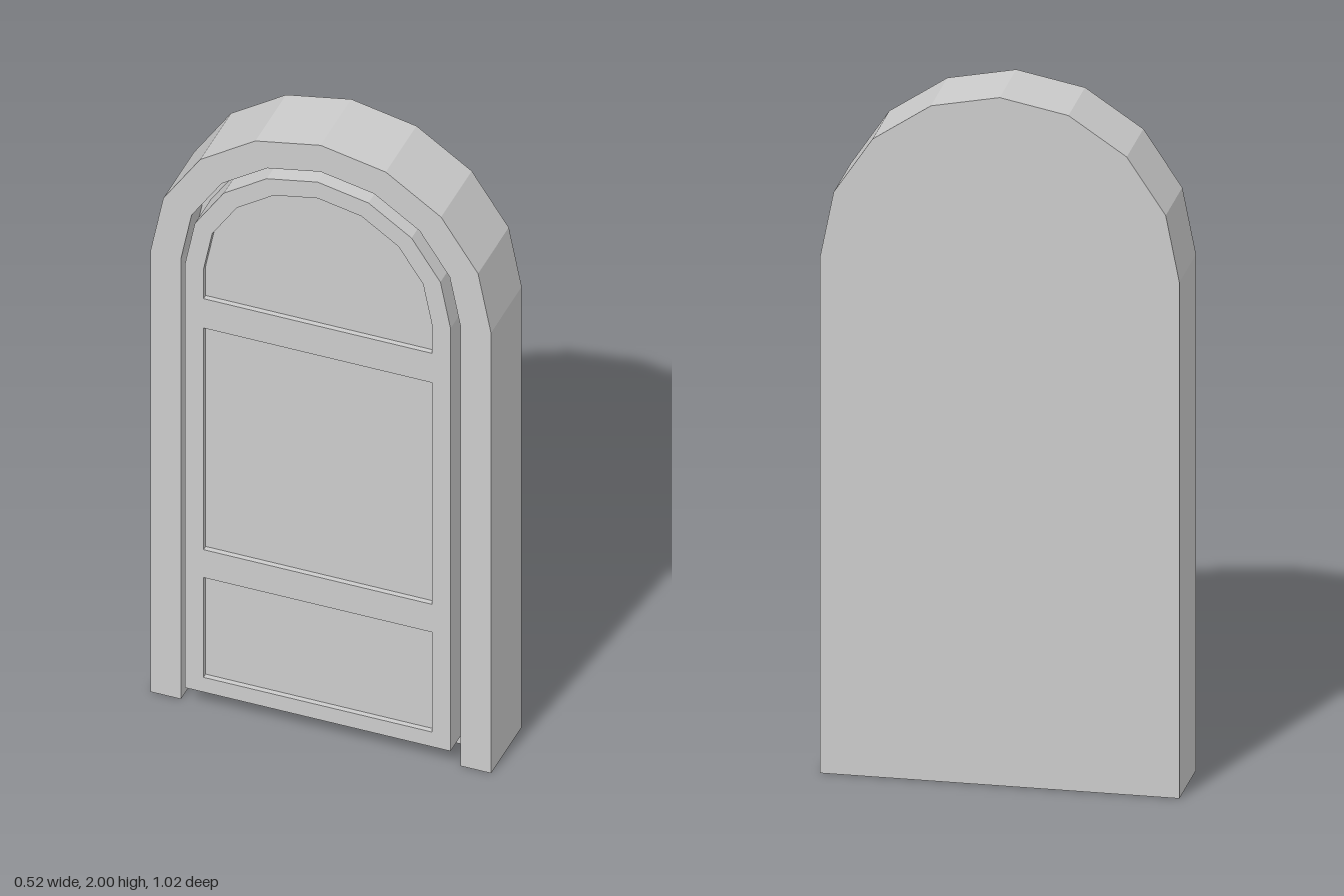
import * as THREE from 'three';

const SPRING = 1.5;      // height where the arches begin
const SEGMENTS = 8;      // facets per arch
const BACK = -0.113, FRONT = 0.113;           // frame thickness
const RECESS = 0.02;                          // back wall of the doorway
const PANEL = 0.119, DOOR_FRONT = 0.135;      // sunk panels and door face

// Points over a faceted semicircle from +x to -x
function arc(r) {
  return Array.from({ length: SEGMENTS + 1 }, (_, i) => {
    const a = (Math.PI * i) / SEGMENTS;
    return new THREE.Vector2(r * Math.cos(a), SPRING + r * Math.sin(a));
  });
}

// Outline with straight sides from y = bottom and a round-arched top
function arch(r, bottom) {
  return [new THREE.Vector2(-r, bottom), new THREE.Vector2(r, bottom), ...arc(r)];
}

function rect(r, y0, y1) {
  return [[-r, y0], [r, y0], [r, y1], [-r, y1]].map(([x, y]) => new THREE.Vector2(x, y));
}

export function createModel() {
  const material = new THREE.MeshStandardMaterial({ color: 0xcccccc, flatShading: true });
  const model = new THREE.Group();
  model.name = 'archedDoorway';

  function slab(name, points, z0, z1, holes = []) {
    const shape = new THREE.Shape(points);
    shape.holes = holes.map((h) => new THREE.Path(h));
    const geometry = new THREE.ExtrudeGeometry(shape, { depth: z1 - z0, bevelEnabled: false });
    geometry.translate(0, 0, z0);
    const mesh = new THREE.Mesh(geometry, material);
    mesh.name = name;
    model.add(mesh);
  }

  // Solid wall behind the door
  slab('backWall', arch(0.5, 0), BACK, RECESS);

  // Surround, open at the floor
  const opening = 0.41;
  slab('frame', [
    new THREE.Vector2(opening, 0), new THREE.Vector2(0.5, 0), ...arc(0.5),
    new THREE.Vector2(-0.5, 0), new THREE.Vector2(-opening, 0), ...arc(opening).reverse(),
  ], RECESS, FRONT);

  // Door leaf, raised off the floor, with three sunk panels
  const door = arch(0.39, 0.06), w = 0.335;
  slab('doorLeaf', door, RECESS, PANEL);
  slab('doorRails', door, PANEL, DOOR_FRONT, [
    rect(w, 0.11, 0.45),
    rect(w, 0.545, 1.3),
    arch(w, 1.4),
  ]);

  // The doorway stands turned towards -x
  model.rotation.y = THREE.MathUtils.degToRad(-72);
  const root = new THREE.Group();
  root.name = 'doorway';
  root.add(model);
  return root;
}
